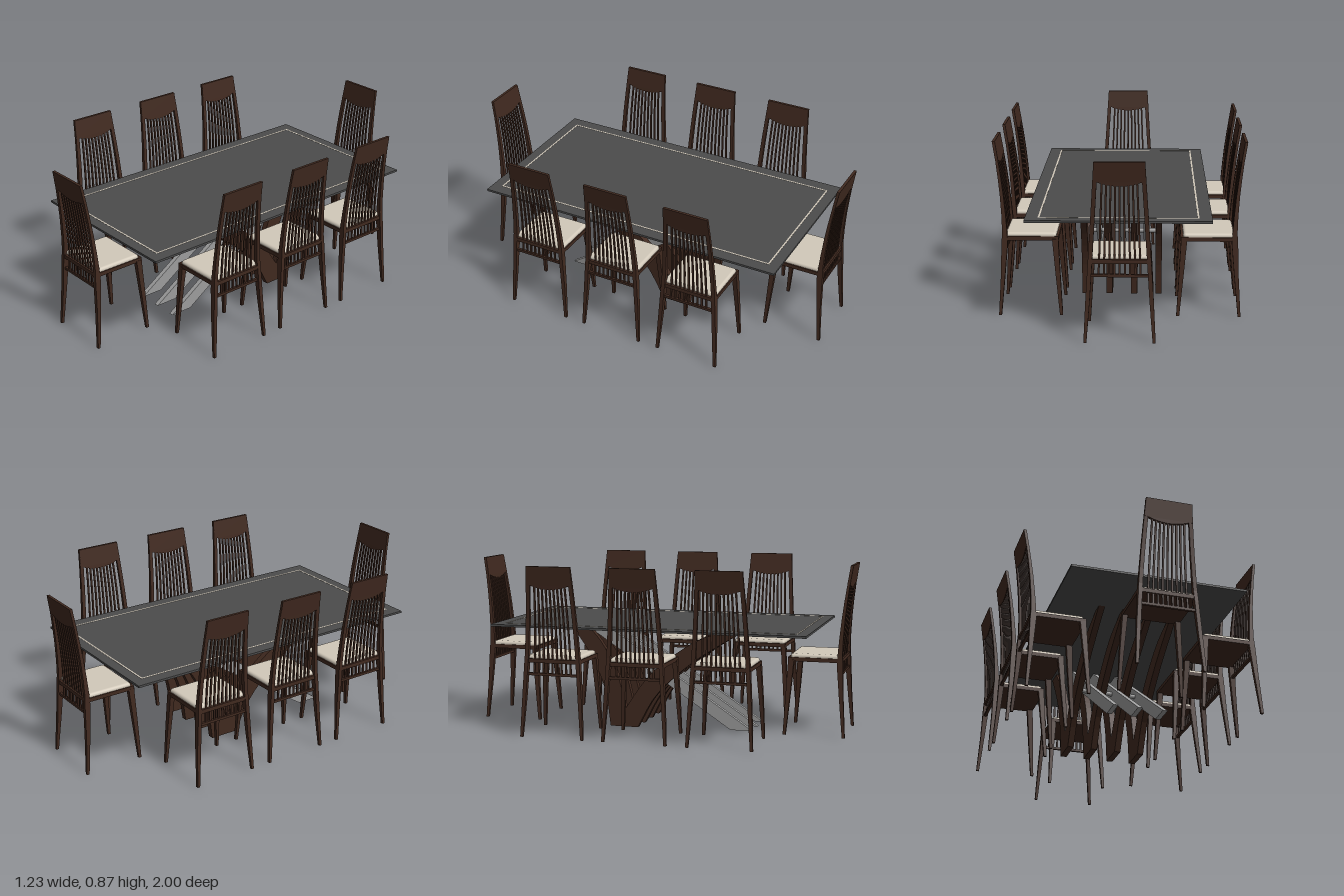
import * as THREE from 'three';
import { RoundedBoxGeometry } from 'three/addons/geometries/RoundedBoxGeometry.js';

const mat = (name, color) => new THREE.MeshStandardMaterial({ name, color });

// Back curve of the chair: height, depth position, post depth
const BACK = [
  [0, -0.149, 0.014], [0.2, -0.133, 0.021], [0.36, -0.123, 0.03], [0.42, -0.122, 0.024],
  [0.5, -0.126, 0.02], [0.6, -0.134, 0.017], [0.68, -0.143, 0.015], [0.77, -0.155, 0.013], [0.865, -0.17, 0.012],
];
function backZ(y) {
  for (let i = 1; i < BACK.length; i++) {
    const [y0, z0] = BACK[i - 1], [y1, z1] = BACK[i];
    if (y <= y1) return z0 + (z1 - z0) * (y - y0) / (y1 - y0);
  }
  return BACK[BACK.length - 1][1];
}

// Upright bar through rectangular sections [x, y, z, width, depth], listed bottom to top
function bar(sections) {
  const rings = sections.map(([x, y, z, w, d]) =>
    [[-1, 1], [1, 1], [1, -1], [-1, -1]].map(([a, b]) => [x + a * w / 2, y, z + b * d / 2]));
  const pos = [];
  const quad = (a, b, c, d) => pos.push(...a, ...b, ...c, ...a, ...c, ...d);
  for (let i = 1; i < rings.length; i++) {
    for (let k = 0; k < 4; k++) {
      const n = (k + 1) % 4;
      quad(rings[i - 1][k], rings[i - 1][n], rings[i][n], rings[i][k]);
    }
  }
  const top = rings[rings.length - 1], low = rings[0];
  quad(top[0], top[1], top[2], top[3]);
  quad(low[3], low[2], low[1], low[0]);
  const g = new THREE.BufferGeometry();
  g.setAttribute('position', new THREE.Float32BufferAttribute(pos, 3));
  g.computeVertexNormals();
  return g;
}

// Side outline in (z, y), given thickness along x and centred on x
function sideExtrude(points, width) {
  const shape = new THREE.Shape(points.map(([z, y]) => new THREE.Vector2(z, y)));
  const g = new THREE.ExtrudeGeometry(shape, { depth: width, bevelEnabled: false });
  return g.translate(0, 0, -width / 2).rotateY(-Math.PI / 2);
}

const smooth = (pts, n = 14) =>
  new THREE.SplineCurve(pts.map(p => new THREE.Vector2(...p))).getPoints(n).map(p => [p.x, p.y]);

function add(parent, name, geometry, material, x = 0, y = 0, z = 0) {
  const m = new THREE.Mesh(geometry, material);
  m.name = name;
  m.position.set(x, y, z);
  parent.add(m);
  return m;
}

export function createModel() {
  const wood = mat('dark wood', 0x40291f);
  const fabric = mat('cream fabric', 0xd2c9ba);
  const glass = mat('dark grey top', 0x4c4c4c);
  const metal = mat('grey metal', 0x9c9c9c);
  const model = new THREE.Group();
  model.name = 'diningSet';

  // Chair parts, shared by all eight chairs
  const postX = y => 0.161 - 0.055 * y / 0.865;
  const posts = [-1, 1].map(s => bar(BACK.map(([y, z, d]) =>
    [s * postX(y), y, z, y < 0.1 ? 0.014 : 0.02, d])));
  const frontLegs = [-1, 1].map(s => bar([
    [s * 0.155, 0, 0.153, 0.014, 0.015], [s * 0.145, 0.2, 0.138, 0.021, 0.023], [s * 0.133, 0.385, 0.125, 0.026, 0.03]]));
  const slatHeights = [0.32, 0.4, 0.5, 0.6, 0.68, 0.78];
  const slats = [];
  for (let i = -4; i <= 4; i++) {
    slats.push(bar(slatHeights.map(y =>
      [i * (0.0275 - 0.0085 * y / 0.865), y, backZ(y), 0.009, 0.007])));
  }

  // Head panel with a drooping lower edge, bent to the back curve
  const outline = new THREE.Shape();
  outline.moveTo(0.116, 0.865);
  outline.lineTo(-0.116, 0.865);
  outline.lineTo(-0.121, 0.77);
  outline.lineTo(-0.1, 0.768);
  outline.quadraticCurveTo(0, 0.73, 0.1, 0.768);
  outline.lineTo(0.121, 0.77);
  const panel = new THREE.ExtrudeGeometry(outline, { depth: 0.014, bevelEnabled: false });
  const p = panel.attributes.position;
  for (let i = 0; i < p.count; i++) p.setZ(i, p.getZ(i) - 0.007 + backZ(p.getY(i)));
  panel.computeVertexNormals();

  const frame = new THREE.BoxGeometry(0.29, 0.02, 0.275);
  const cushion = new RoundedBoxGeometry(0.278, 0.034, 0.25, 3, 0.014);
  const rail = new THREE.BoxGeometry(0.27, 0.013, 0.014);

  function chair(x, z, turn) {
    const c = new THREE.Group();
    c.name = 'chair';
    posts.forEach(g => add(c, 'backPost', g, wood));
    frontLegs.forEach(g => add(c, 'frontLeg', g, wood));
    slats.forEach(g => add(c, 'backSlat', g, wood));
    add(c, 'headPanel', panel, wood);
    add(c, 'lowerRail', rail, wood, 0, 0.32, backZ(0.32));
    add(c, 'seatFrame', frame, wood, 0, 0.388, 0.004);
    add(c, 'seatCushion', cushion, fabric, 0, 0.399, 0.005);
    c.position.set(x, 0, z);
    c.rotation.y = turn;
    model.add(c);
  }
  for (const z of [-0.432, 0, 0.432]) {
    chair(0.44, z, -Math.PI / 2);
    chair(-0.44, z, Math.PI / 2);
  }
  chair(-0.01, 0.821, Math.PI);
  chair(-0.01, -0.821, 0);

  // Table top with a thin inlaid border line
  const table = new THREE.Group();
  table.name = 'table';
  model.add(table);
  add(table, 'tableTop', new THREE.BoxGeometry(0.884, 0.011, 1.644), glass, 0, 0.54, 0);
  for (const s of [-1, 1]) {
    add(table, 'sideInlay', new THREE.BoxGeometry(0.008, 0.002, 1.54), fabric, s * 0.377, 0.5455, 0);
    add(table, 'endInlay', new THREE.BoxGeometry(0.746, 0.002, 0.008), fabric, 0, 0.5455, s * 0.766);
  }

  // Curved wooden supports: a long arm and a short arm meeting at the foot
  const longArm = sideExtrude([
    ...smooth([[0.48, 0.534], [0.33, 0.445], [0.17, 0.335], [0, 0.175], [-0.1, 0]]),
    [-0.165, 0],
    ...smooth([[-0.165, 0.1], [-0.08, 0.225], [0.03, 0.34], [0.23, 0.475], [0.42, 0.534]]),
  ], 0.032);
  const shortArm = sideExtrude([
    [-0.165, 0], [-0.25, 0],
    ...smooth([[-0.253, 0.02], [-0.28, 0.19], [-0.35, 0.36], [-0.47, 0.534]]),
    ...smooth([[-0.38, 0.534], [-0.29, 0.43], [-0.21, 0.27], [-0.165, 0.1]]),
  ], 0.032);
  for (const x of [-0.193, -0.067, 0.061, 0.186]) {
    add(table, 'longArm', longArm, wood, x);
    add(table, 'shortArm', shortArm, wood, x);
  }

  // Slanted metal struts and the rod that ties them to the arms
  const strut = sideExtrude([[0.497, 0], [0.38, 0], [-0.43, 0.534], [-0.313, 0.534]], 0.025);
  for (const x of [-0.126, -0.002, 0.124]) add(table, 'metalStrut', strut, metal, x);
  const rod = new THREE.CylinderGeometry(0.012, 0.012, 0.37, 16).rotateZ(Math.PI / 2);
  add(table, 'tieRod', rod, metal, -0.003, 0.26, 0.045);

  return model;
}
